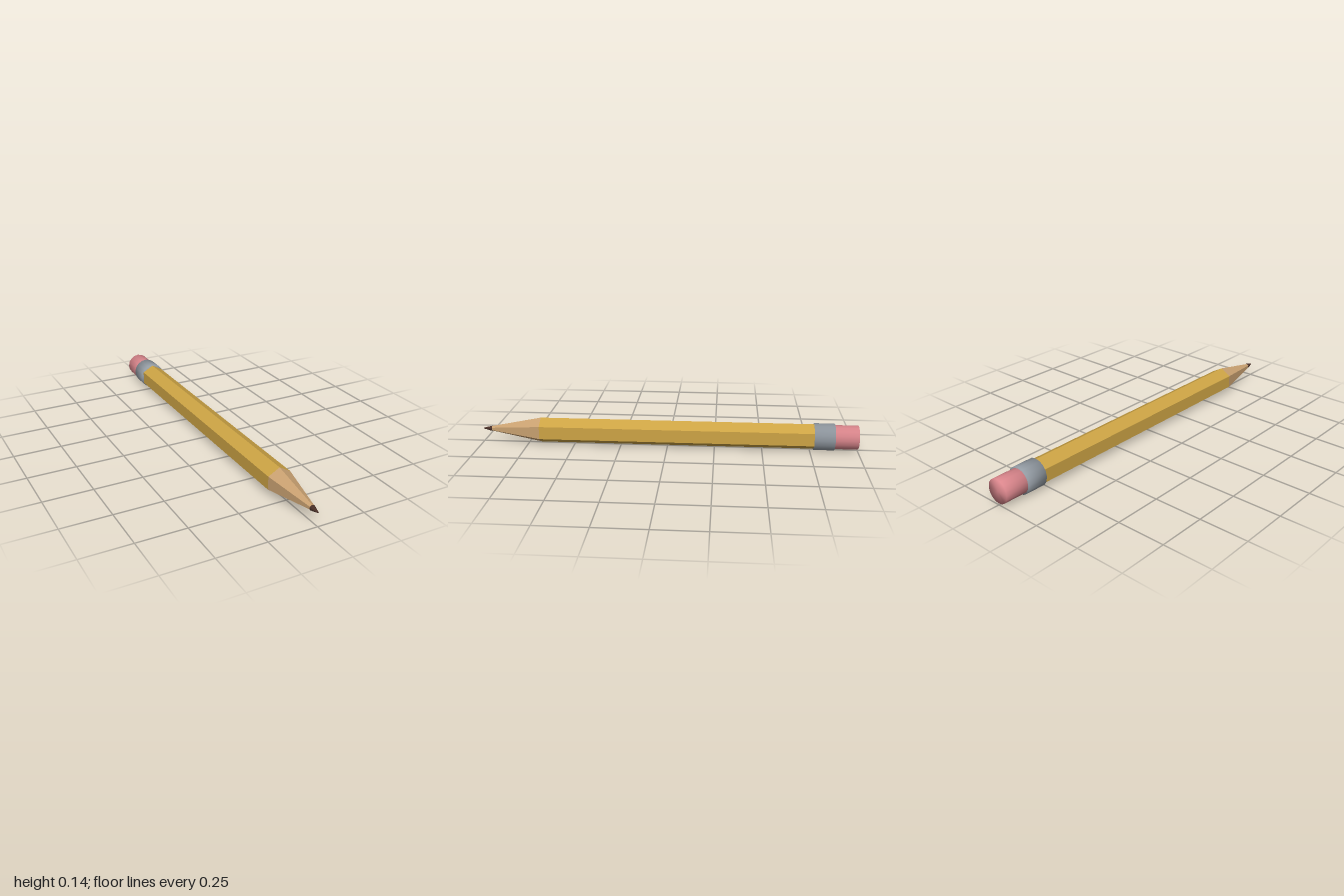
import * as THREE from 'three';

const AXIS_Y = 0.0705;

function material(name, color, flatShading = false) {
  const m = new THREE.MeshStandardMaterial({ color, flatShading });
  m.name = name;
  return m;
}

export function createModel() {
  const group = new THREE.Group();
  group.name = 'pencil';

  const paint = material('yellow paint', 0xcca344, true);
  const wood = material('bare wood', 0xc8a070, true);
  const lead = material('graphite', 0x4a3028);
  const metal = material('ferrule metal', 0x939ba3);
  const rubber = material('pink rubber', 0xda868c);

  // Lay a shape built along y onto the z axis
  function add(name, geometry, mat) {
    geometry.rotateX(Math.PI / 2);
    const mesh = new THREE.Mesh(geometry, mat);
    mesh.name = name;
    mesh.position.y = AXIS_Y;
    group.add(mesh);
  }

  // Six-sided section between two positions along the pencil
  function hexSection(name, z0, r0, z1, r1, mat) {
    const g = new THREE.CylinderGeometry(r1, r0, z1 - z0, 6);
    g.translate(0, (z0 + z1) / 2, 0);
    add(name, g, mat);
  }

  // Closed round section whose shading flows softly over its ends
  function roundSection(name, z0, r0, z1, r1, mat) {
    const profile = [[0, z0], [r0, z0], [r1, z1], [0, z1]];
    add(name, new THREE.LatheGeometry(profile.map(p => new THREE.Vector2(...p)), 16), mat);
  }

  hexSection('body', -0.8, 0.068, 0.683, 0.068, paint);
  hexSection('sharpenedWood', 0.683, 0.068, 0.958, 0.012, wood);
  roundSection('leadTip', 0.953, 0.0145, 1, 0.002, lead);
  roundSection('ferrule', -0.877, 0.0705, -0.77, 0.0705, metal);
  roundSection('eraser', -1, 0.063, -0.86, 0.063, rubber);

  return group;
}
